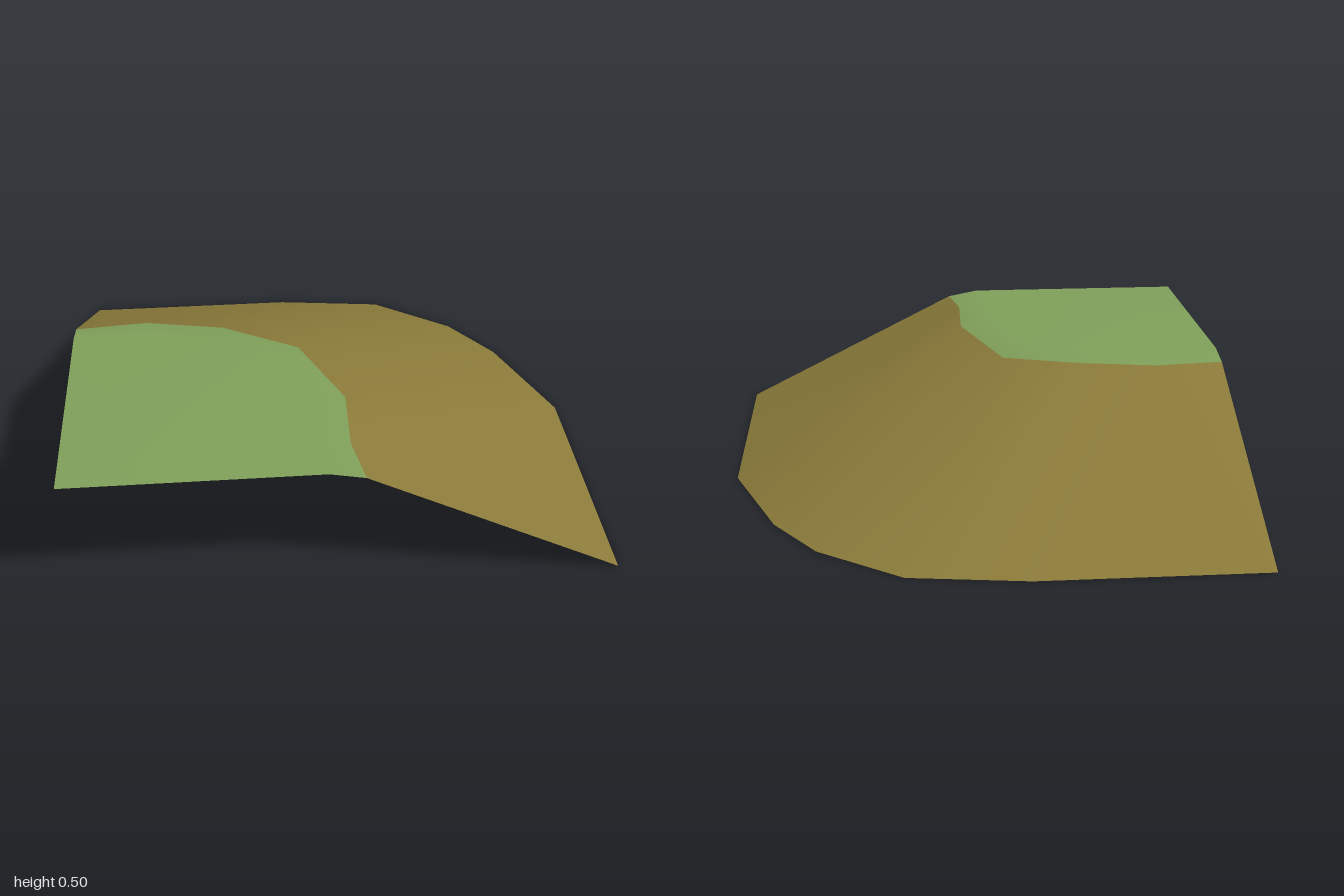
import * as THREE from 'three';

// Matching cross-section loops, from the left edge round the corner to the front edge
const plateauEdge = [[-1, 0.5, 0.05], [-0.73, 0.5, 0.04], [-0.45, 0.5, 0.1], [-0.21, 0.5, 0.21],
  [-0.1, 0.5, 0.53], [-0.09, 0.5, 0.8], [-0.07, 0.5, 1]];
const rim = [[-1, 0.475, -0.06], [-0.72, 0.475, -0.085], [-0.41, 0.473, -0.025], [-0.115, 0.455, 0.12],
  [0.035, 0.475, 0.51], [0.025, 0.478, 0.8], [0.06, 0.475, 1]];
const foot = [[-1, 0, -1], [-0.12, 0, -1], [0.33, 0, -0.94], [0.65, 0, -0.71],
  [0.82, 0, -0.47], [1, 0, -0.01], [1, 0, 1]];
const corner = [-1, 0.5, 1];

// Joins two loops; the quad diagonals run outwards from the corner on both sides
function bridge(index, inner, outer, count) {
  const middle = (count - 1) / 2;
  for (let i = 0; i < count - 1; i++) {
    const a = inner + i, b = a + 1, c = outer + i, d = c + 1;
    if (i < middle) index.push(a, b, c, b, d, c);
    else index.push(a, d, c, a, b, d);
  }
}

function surface(name, points, index, material) {
  const geometry = new THREE.BufferGeometry();
  geometry.setAttribute('position', new THREE.Float32BufferAttribute(points.flat(), 3));
  geometry.setIndex(index);
  geometry.computeVertexNormals();
  const mesh = new THREE.Mesh(geometry, material);
  mesh.name = name;
  return mesh;
}

export function createModel() {
  const grass = new THREE.MeshStandardMaterial({ color: 0x7f9f59, side: THREE.DoubleSide });
  grass.name = 'grass green';
  const earth = new THREE.MeshStandardMaterial({ color: 0x8b7b3a, side: THREE.DoubleSide });
  earth.name = 'earth brown';

  const group = new THREE.Group();
  group.name = 'hillCorner';
  const n = rim.length;

  // Flat grassy top as a fan, with a softly drooping lip
  const topIndex = [];
  for (let i = 0; i < n - 1; i++) topIndex.push(2 * n, i + 1, i);
  bridge(topIndex, 0, n, n);
  group.add(surface('grassTop', [...plateauEdge, ...rim, corner], topIndex, grass));

  // Earth slope from the rim down to the ground
  const slopeIndex = [];
  bridge(slopeIndex, 0, n, n);
  group.add(surface('earthSlope', [...rim, ...foot], slopeIndex, earth));

  return group;
}
